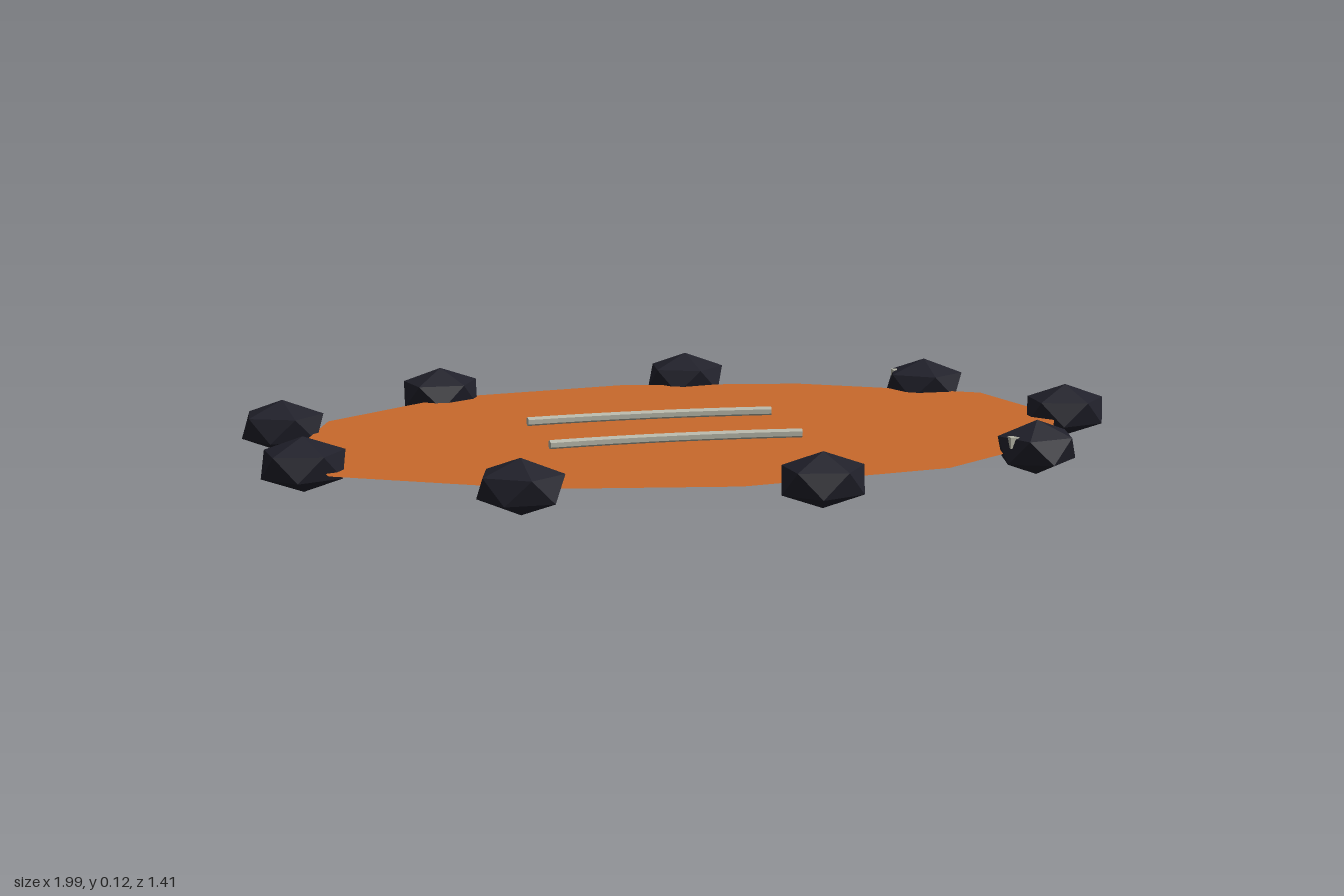
import * as THREE from 'three';

const mats = {
  floor: new THREE.MeshStandardMaterial({ name: 'burnt orange', color: 0xc8692b, side: THREE.DoubleSide }),
  stone: new THREE.MeshStandardMaterial({ name: 'charcoal', color: 0x20202a }),
  metal: new THREE.MeshStandardMaterial({ name: 'pale grey', color: 0xb4b4a6 }),
};

function add(parent, name, geometry, material, x = 0, y = 0, z = 0) {
  const mesh = new THREE.Mesh(geometry, material);
  mesh.name = name;
  mesh.position.set(x, y, z);
  parent.add(mesh);
  return mesh;
}

// Flattened icosahedron with one corner straight up
function stoneGeometry() {
  const g = new THREE.IcosahedronGeometry(1, 0);
  g.rotateX(-Math.atan((1 + Math.sqrt(5)) / 2));
  g.rotateY(Math.PI / 2);
  g.scale(0.104, 0.061, 0.091);
  return g;
}

// Hexagonal bar swept along a gentle bow
function railGeometry(zEnd, zMid) {
  const section = new THREE.Shape();
  for (let i = 0; i < 6; i++) {
    const a = (i * Math.PI) / 3;
    const p = [0.0105 * Math.cos(a), 0.0105 * Math.sin(a)];
    if (i) section.lineTo(...p); else section.moveTo(...p);
  }
  const path = new THREE.QuadraticBezierCurve3(
    new THREE.Vector3(-0.35, 0.06, zEnd),
    new THREE.Vector3(-0.06, 0.06, 2 * zMid - zEnd),
    new THREE.Vector3(0.23, 0.06, zEnd));
  return new THREE.ExtrudeGeometry(section, { steps: 8, extrudePath: path, bevelEnabled: false });
}

export function createModel() {
  const model = new THREE.Group();
  model.name = 'stoneRing';

  // Thin irregular floor, outline given as x, z
  const outline = [
    [-0.03, -0.61], [0.40, -0.53], [0.80, -0.31], [0.88, 0], [0.76, 0.30], [0.45, 0.52],
    [-0.03, 0.60], [-0.45, 0.525], [-0.86, 0.30], [-0.90, 0], [-0.79, -0.31], [-0.47, -0.545],
  ].map(([x, z]) => new THREE.Vector2(x, -z));
  const floor = new THREE.ShapeGeometry(new THREE.Shape(outline));
  floor.rotateX(-Math.PI / 2);
  add(model, 'floor', floor, mats.floor, 0, 0.05, 0);

  // Border stones: x, z, turn
  const stone = stoneGeometry();
  const stones = [
    [0.903, 0, 0], [0.69, 0.40, 0.5], [0.138, 0.622, 0.1], [-0.49, 0.543, -0.25], [-0.904, 0.212, 0.1],
    [-0.904, -0.222, -0.1], [-0.49, -0.553, 0.25], [0.135, -0.627, -0.1], [0.687, -0.41, -0.3],
  ];
  for (const [x, z, turn] of stones) {
    add(model, 'borderStone', stone, mats.stone, x, 0.061, z).rotation.y = turn;
  }

  // Two bowed rails
  add(model, 'rail', railGeometry(0.124, 0.107), mats.metal);
  add(model, 'rail', railGeometry(-0.149, -0.166), mats.metal);

  // Small chips set in two of the stones
  for (const z of [0.43, -0.44]) {
    add(model, 'chip', new THREE.BoxGeometry(0.025, 0.025, 0.022), mats.metal, 0.628, 0.08, z);
  }
  return model;
}
